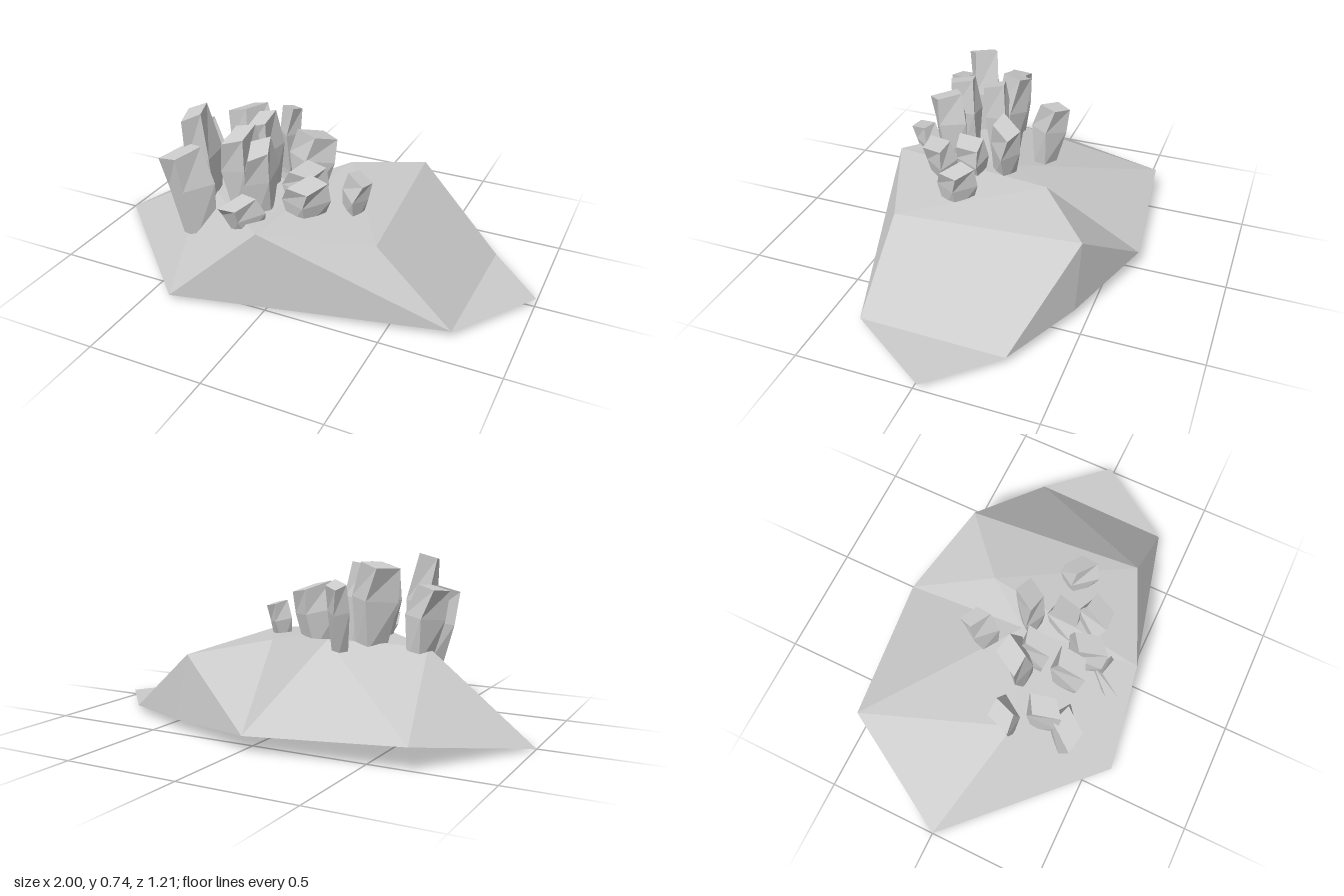
import * as THREE from 'three';

const material = new THREE.MeshStandardMaterial({ color: 0xcccccc, flatShading: true });

function makeMesh(name, points, index) {
  const geometry = new THREE.BufferGeometry();
  geometry.setAttribute('position', new THREE.Float32BufferAttribute(points.flat(), 3));
  geometry.setIndex(index.flat());
  geometry.computeVertexNormals();
  const mesh = new THREE.Mesh(geometry, material);
  mesh.name = name;
  return mesh;
}

// Faceted boulder: ground outline, then the plateau corners
function createRock() {
  const points = [
    [-1, 0, 0], [-0.68, 0.1, -0.54], [-0.02, 0.07, -0.61], [0.42, 0.045, -0.45],
    [0.76, 0.03, -0.28], [1, 0.025, -0.02], [0.75, 0.03, 0.35], [-0.4, 0.02, 0.6],
    [-0.02, 0.37, 0.52], [0.42, 0.33, 0.34], [0.35, 0.33, -0.45],
    [0.08, 0.38, -0.21], [-0.07, 0.36, 0], [-0.48, 0.34, 0.15],
  ];
  const faces = [
    [0, 7, 13], [7, 8, 13], [7, 6, 8], [6, 9, 8], [6, 4, 9], [4, 10, 9], [6, 5, 4],
    [4, 3, 10], [3, 2, 10], [2, 11, 10], [2, 12, 11], [2, 1, 12], [1, 13, 12],
    [1, 0, 13], [13, 8, 12], [12, 8, 11], [8, 9, 11], [9, 10, 11],
  ];
  for (let i = 1; i < 7; i++) faces.push([0, i, i + 1]); // underside
  return makeMesh('rock', points, faces);
}

// Four-sided crystal: narrow foot, wide shoulder, tilted rhombic top
const rhombus = [[0.06, -0.055], [-0.025, -0.06], [-0.065, 0.06], [0.025, 0.05]];

function createCrystal([x, z, top, footX, footZ, foot, turn, size]) {
  const rings = [[0, 0.75, 0], [0.6, 1.12, -0.25], [1, 0.95, 0]];
  const points = [];
  const faces = [];
  const lean = new THREE.Vector2(x - footX, z - footZ).normalize();
  rings.forEach(([t, width, twist], level) => {
    const c = Math.cos(turn + twist), s = Math.sin(turn + twist);
    const shift = t * t;
    for (const [u, v] of rhombus) {
      const dx = (u * c + v * s) * width * size;
      const dz = (v * c - u * s) * width * size;
      const tilt = (dx * lean.x + dz * lean.y) * 0.3 * t;
      points.push([
        footX + (x - footX) * shift + dx,
        foot + (top - 0.02 - foot) * t - tilt,
        footZ + (z - footZ) * shift + dz,
      ]);
    }
    if (level === 0) return;
    for (let i = 0; i < 4; i++) {
      const a = (level - 1) * 4 + i, b = (level - 1) * 4 + (i + 1) % 4;
      faces.push([a, b, b + 4], [a, b + 4, a + 4]);
    }
  });
  faces.push([8, 9, 10], [8, 10, 11], [0, 2, 1], [0, 3, 2]);
  return makeMesh('crystal', points, faces);
}

// top x, top z, top height, foot x, foot z, foot height, turn, size
const crystals = [
  [-0.19, -0.16, 0.64, -0.19, -0.12, 0.34, 1.3, 0.8],
  [-0.51, 0.12, 0.62, -0.45, 0.12, 0.28, 0, 0.9],
  [-0.29, 0.06, 0.71, -0.24, 0.08, 0.32, -0.2, 1.05],
  [-0.19, 0.13, 0.7, -0.18, 0.1, 0.32, 0.3, 0.9],
  [0.01, 0.0, 0.61, -0.02, 0.02, 0.32, -0.3, 1.05],
  [0.04, 0.16, 0.52, 0.02, 0.15, 0.32, 0.1, 1.05],
  [0.26, 0.12, 0.51, 0.23, 0.13, 0.3, 1.3, 0.9],
  [0.1, 0.29, 0.52, 0.08, 0.26, 0.31, -0.1, 1.05],
  [-0.43, 0.27, 0.74, -0.39, 0.24, 0.22, 0.6, 0.95],
  [-0.44, 0.38, 0.6, -0.39, 0.34, 0.19, -0.3, 1.1],
  [-0.21, 0.29, 0.69, -0.2, 0.26, 0.31, 0.3, 1],
  [-0.1, 0.32, 0.66, -0.1, 0.29, 0.32, 0.7, 1],
  [-0.13, 0.46, 0.47, -0.11, 0.41, 0.3, -0.2, 0.95],
];

export function createModel() {
  const model = new THREE.Group();
  model.name = 'crystalRock';
  model.add(createRock());
  const cluster = new THREE.Group();
  cluster.name = 'crystalCluster';
  for (const crystal of crystals) cluster.add(createCrystal(crystal));
  model.add(cluster);
  return model;
}
